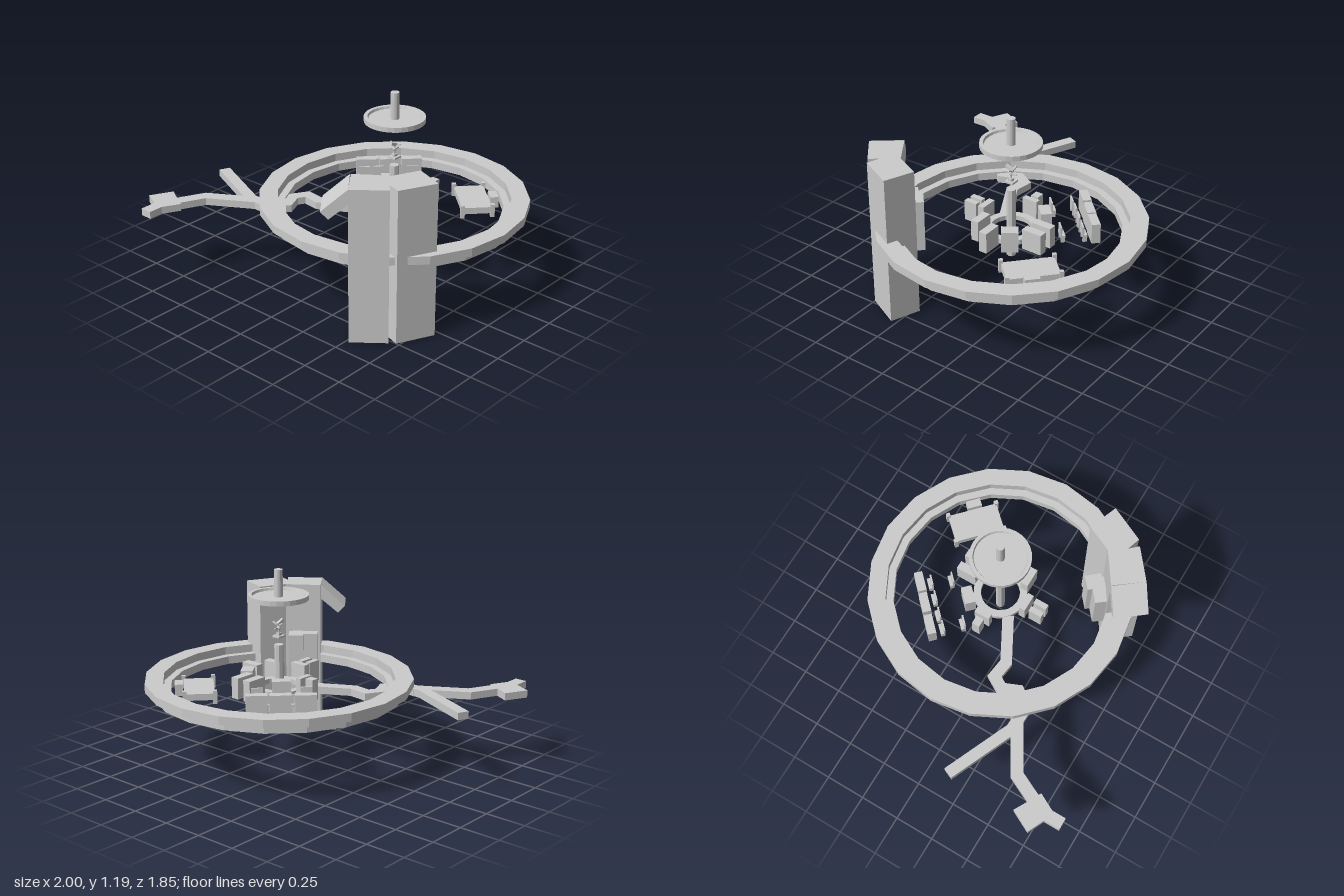
import * as THREE from 'three';

const mat = new THREE.MeshStandardMaterial({ color: 0xcccccc, flatShading: true, side: THREE.DoubleSide });
const CX = 0.19, CZ = -0.12; // centre of the ring and its column

export function createModel() {
  const root = new THREE.Group();

  function add(name, geo, x = 0, y = 0, z = 0, parent = root) {
    const m = new THREE.Mesh(geo, mat);
    m.name = name;
    m.position.set(x, y, z);
    parent.add(m);
    return m;
  }
  // Box standing between y0 and y1, turned by angle about y
  function block(name, x, z, w, d, y0, y1, angle = 0, parent = root) {
    const m = add(name, new THREE.BoxGeometry(w, y1 - y0, d), x, (y0 + y1) / 2, z, parent);
    m.rotation.y = angle;
    return m;
  }
  // Floor plan of [x, z] corners raised from y0 to y1
  function prism(name, pts, y0, y1) {
    const shape = new THREE.Shape(pts.map(([x, z]) => new THREE.Vector2(x, -z)));
    const geo = new THREE.ExtrudeGeometry(shape, { depth: y1 - y0, bevelEnabled: false });
    geo.rotateX(-Math.PI / 2);
    return add(name, geo, 0, y0, 0);
  }
  // Mitred strip of constant width along a plan path
  function walkway(name, path, width, y0, y1) {
    const p = path.map(([x, z]) => new THREE.Vector2(x, z));
    const left = [], right = [];
    p.forEach((q, i) => {
      const a = q.clone().sub(p[Math.max(i - 1, 0)]).normalize();
      const b = p[Math.min(i + 1, p.length - 1)].clone().sub(q).normalize();
      const t = a.clone().add(b).normalize();
      const dir = i === 0 ? b : a;
      const h = width / 2 / Math.max(0.5, Math.abs(t.dot(dir)));
      left.push([q.x - t.y * h, q.y + t.x * h]);
      right.unshift([q.x + t.y * h, q.y - t.x * h]);
    });
    return prism(name, [...left, ...right], y0, y1);
  }
  const lathe = (pts, n) => new THREE.LatheGeometry(pts.map(([r, y]) => new THREE.Vector2(r, y)), n);

  // Stepped outer ring with 20 sides
  add('outerRing', lathe([[0.655, 0.435], [0.755, 0.435], [0.755, 0.485], [0.81, 0.485], [0.81, 0.535],
    [0.70, 0.535], [0.70, 0.485], [0.655, 0.485], [0.655, 0.435]], 20), CX, 0, CZ);

  // Tower with a vertical slot, and its sloping hood
  prism('tower', [[0.395, 0.5], [0.52, 0.665], [0.695, 0.525], [0.647, 0.473], [0.73, 0.5],
    [0.835, 0.285], [0.655, 0.215], [0.58, 0.375]], 0, 0.945);
  const hoodShape = new THREE.Shape([[0, 0.945], [0.152, 0.81], [0.107, 0.765], [0, 0.855]]
    .map(([u, y]) => new THREE.Vector2(u, y)));
  const hoodGeo = new THREE.ExtrudeGeometry(hoodShape, { depth: 0.207, bevelEnabled: false });
  const hood = add('towerHood', hoodGeo, 0.52, 0, 0.665);
  hood.rotation.y = Math.atan2(-0.62, -0.785);
  prism('towerPanel', [[0.365, 0.435], [0.49, 0.33], [0.54, 0.395], [0.415, 0.5]], 0.31, 0.64);
  prism('towerCabinet', [[0.415, 0.355], [0.485, 0.295], [0.55, 0.37], [0.48, 0.43]], 0.31, 0.64);

  // Walkways inside and outside the ring
  walkway('innerWalkway', [[0.08, 0], [-0.18, 0.14], [-0.29, 0.125], [-0.335, 0.2], [-0.295, 0.295],
    [-0.36, 0.38]], 0.07, 0.43, 0.475);
  walkway('straightWalkway', [[-0.38, 0.385], [-0.52, 0.38], [-0.94, 0.195]], 0.07, 0.43, 0.475);
  walkway('bentWalkway', [[-0.45, 0.375], [-0.74, 0.545], [-0.83, 0.73]], 0.075, 0.43, 0.475);
  prism('endRoom', [[-0.93, 0.635], [-1, 0.77], [-0.895, 0.82], [-0.895, 0.92], [-0.82, 0.92],
    [-0.82, 0.83], [-0.765, 0.725], [-0.79, 0.71], [-0.85, 0.68]], 0.43, 0.475);

  // Central column and ring-shaped console
  add('column', new THREE.CylinderGeometry(0.028, 0.028, 0.445, 8), CX, 0.5075, CZ);
  add('consoleRing', lathe([[0.12, 0.45], [0.165, 0.45], [0.165, 0.48], [0.12, 0.48], [0.12, 0.45]], 20), CX, 0, CZ);

  // Hanging dish with a raised rim and stem
  add('ceilingDish', lathe([[0, 1.01], [0.182, 1.01], [0.182, 1.04], [0.16, 1.04], [0.155, 1.025], [0, 1.025]], 28), CX, 0, CZ);
  add('ceilingStem', new THREE.CylinderGeometry(0.026, 0.026, 0.165, 16), CX, 1.1075, CZ);

  // Small floating instrument with a tilted head and raised arms
  const tool = new THREE.Group();
  tool.name = 'instrument';
  tool.position.set(CX, 0, CZ);
  root.add(tool);
  block('instrumentBase', 0, 0, 0.055, 0.055, 0.775, 0.787, 0, tool);
  block('instrumentFoot', 0, 0, 0.025, 0.025, 0.787, 0.802, 0, tool);
  add('instrumentPost', new THREE.CylinderGeometry(0.006, 0.006, 0.06, 8), 0, 0.825, 0, tool);
  add('instrumentJoint', new THREE.SphereGeometry(0.012, 8, 6), 0, 0.832, 0, tool);
  const head = add('instrumentHead', new THREE.BoxGeometry(0.018, 0.018, 0.055), 0, 0.865, 0.01, tool);
  head.rotation.x = -0.4;
  for (const s of [-1, 1]) {
    const arm = add('instrumentArm', new THREE.BoxGeometry(0.04, 0.008, 0.01), s * 0.02, 0.858, -0.008, tool);
    arm.rotation.z = s * 0.5;
  }
  add('instrumentLever', new THREE.BoxGeometry(0.008, 0.008, 0.035), 0, 0.832, -0.018, tool);

  // Consoles around the column: x, z, width, depth, angle
  const q = Math.PI / 4;
  [
    [0.185, -0.345, 0.052, 0.13, 0], [0.28, -0.345, 0.052, 0.13, 0],
    [0.35, -0.225, 0.075, 0.1, 0.6], [0.41, -0.12, 0.12, 0.052, 0],
    [0.335, -0.005, 0.12, 0.05, 0], [0.185, 0.065, 0.11, 0.04, 0],
    [0.16, 0.148, 0.035, 0.085, 0], [0.217, 0.148, 0.035, 0.085, 0],
    [-0.072, -0.122, 0.055, 0.05, 0], [-0.01, -0.122, 0.035, 0.1, 0],
    [0.045, -0.26, 0.11, 0.065, q],
  ].forEach(([x, z, w, d, a]) => block('console', x, z, w, d, 0.44, 0.57, a));

  // Three screens in a diagonal row
  [[-0.235, -0.36], [-0.13, -0.46], [-0.03, -0.555]].forEach(([x, z]) =>
    block('screen', x, z, 0.125, 0.052, 0.445, 0.57, q));

  // Chairs: seat, back and legs
  [[-0.2, -0.3], [-0.14, -0.365], [-0.06, -0.44], [0.015, -0.515], [0.095, -0.415], [-0.11, -0.21]].forEach(([x, z]) => {
    const chair = new THREE.Group();
    chair.name = 'chair';
    chair.position.set(x, 0, z);
    chair.rotation.y = q;
    root.add(chair);
    block('chairSeat', 0, 0, 0.07, 0.03, 0.475, 0.49, 0, chair);
    block('chairBack', 0, 0.01, 0.07, 0.01, 0.49, 0.545, 0, chair);
    for (const s of [-1, 1]) block('chairLeg', s * 0.027, 0, 0.012, 0.026, 0.445, 0.475, 0, chair);
  });

  // Turned platform with corner posts and a side cabinet
  const deck = new THREE.Group();
  deck.name = 'platform';
  deck.position.set(0.507, 0, -0.484);
  deck.rotation.y = -0.75;
  root.add(deck);
  block('platformSlab', 0, 0, 0.31, 0.18, 0.45, 0.49, 0, deck);
  for (const sx of [-1, 1]) for (const sz of [-1, 1])
    block('platformPost', sx * 0.155, sz * 0.09, 0.025, 0.025, 0.43, 0.51, 0, deck);
  block('platformCabinet', 0.02, -0.12, 0.09, 0.05, 0.44, 0.51, 0, deck);

  return root;
}
